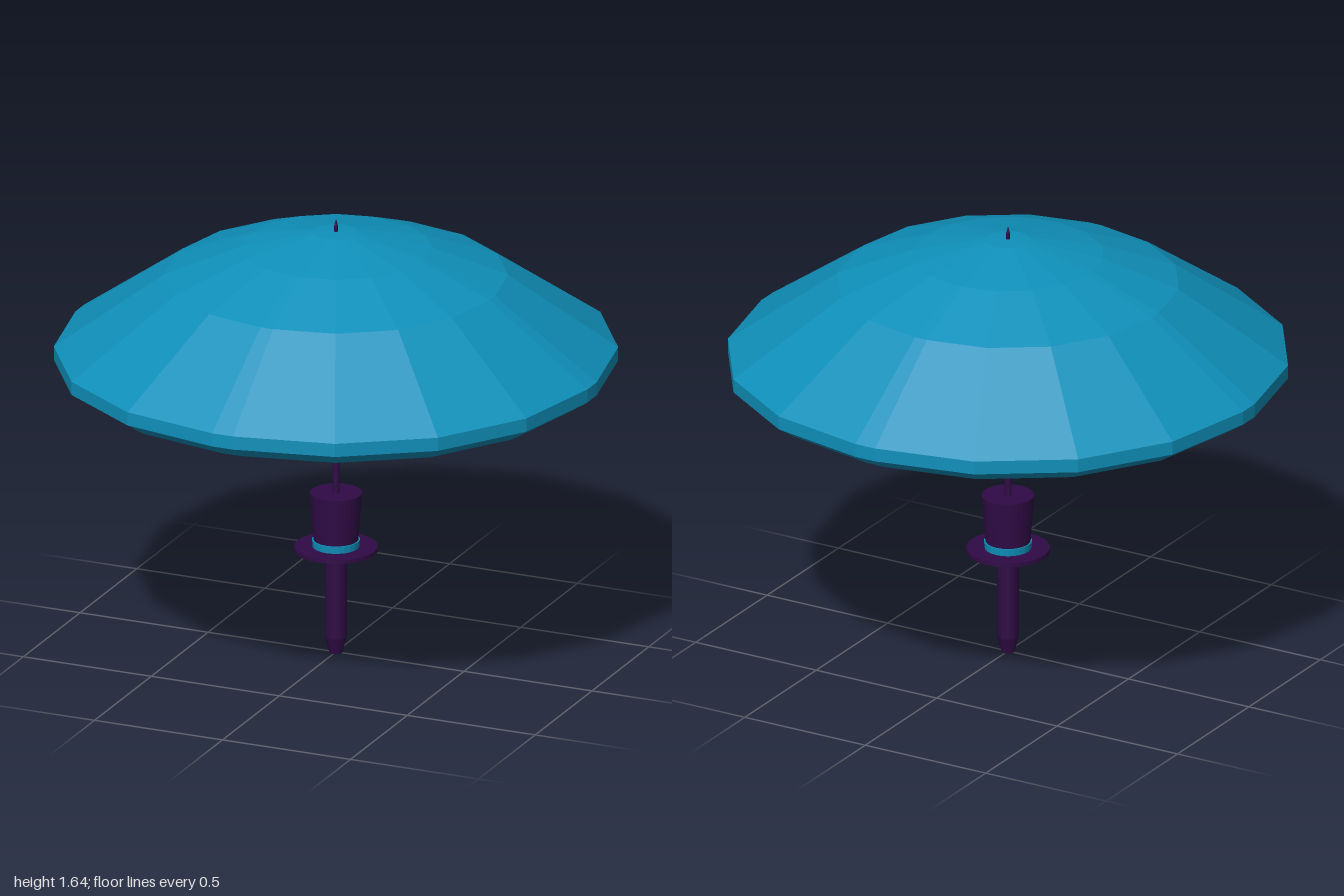
import * as THREE from 'three';

const teal = new THREE.MeshStandardMaterial({ name: 'teal', color: 0x0f90ba, flatShading: true });
const purple = new THREE.MeshStandardMaterial({ name: 'darkPurple', color: 0x300b46 });

// Outline of the canopy: sixteen sides with the four axis corners cut off
const outline = [];
for (let q = 0; q < 4; q++) {
  for (const [deg, r] of [[-2.3, 1.001], [2.3, 1.001], [23.7, 1.008], [45, 1.012], [66.3, 1.008]]) {
    const a = THREE.MathUtils.degToRad(deg + q * 90);
    outline.push([Math.sin(a) * r, Math.cos(a) * r]);
  }
}

// Sweep a [radius, height] profile around the outline with flat faces
function sweep(profile) {
  const pos = [];
  const point = (i, j) => {
    const [x, z] = outline[i % outline.length];
    const [r, y] = profile[j];
    return [x * r, y, z * r];
  };
  for (let i = 0; i < outline.length; i++) {
    for (let j = 0; j < profile.length - 1; j++) {
      const a = point(i, j), b = point(i + 1, j), c = point(i + 1, j + 1), d = point(i, j + 1);
      if (profile[j][0] > 0) pos.push(...a, ...b, ...c);
      if (profile[j + 1][0] > 0) pos.push(...a, ...c, ...d);
    }
  }
  const g = new THREE.BufferGeometry();
  g.setAttribute('position', new THREE.Float32BufferAttribute(pos, 3));
  g.computeVertexNormals();
  return g;
}

export function createModel() {
  const model = new THREE.Group();
  model.name = 'umbrella';
  const add = (name, geometry, material) => {
    const mesh = new THREE.Mesh(geometry, material);
    mesh.name = name;
    model.add(mesh);
  };
  // Upright round part between two heights
  const post = (name, r0, r1, y0, y1, sides, material = purple) => {
    const g = new THREE.CylinderGeometry(r1, r0, y1 - y0, sides);
    g.translate(0, (y0 + y1) / 2, 0);
    add(name, g, material);
  };

  // Canopy: inner surface, rim, then outer surface
  add('canopy', sweep([
    [0.34, 1.485], [0.61, 1.34], [0.925, 1.06],
    [1, 1.11], [1, 1.16], [0.61, 1.435], [0.34, 1.54], [0.08, 1.597], [0, 1.6],
  ]), teal);
  add('canopyInnerCap', sweep([[0, 1.485], [0.34, 1.485]]), purple);

  // Pole and tip
  post('pole', 0.0125, 0.0125, 0.6, 1.49, 12);
  post('tipBase', 0.007, 0.007, 1.59, 1.622, 8);
  post('tipPoint', 0.007, 0.001, 1.622, 1.645, 8);

  // Top hat around the grip
  post('hatBrim', 0.15, 0.15, 0.388, 0.403, 24);
  post('hatCrown', 0.079, 0.094, 0.403, 0.607, 24);
  post('hatBand', 0.084, 0.086, 0.403, 0.43, 24, teal);

  // Handle with a tapered end
  post('handle', 0.039, 0.039, 0.06, 0.39, 12);
  post('handleEnd', 0.024, 0.039, 0, 0.06, 12);
  return model;
}
